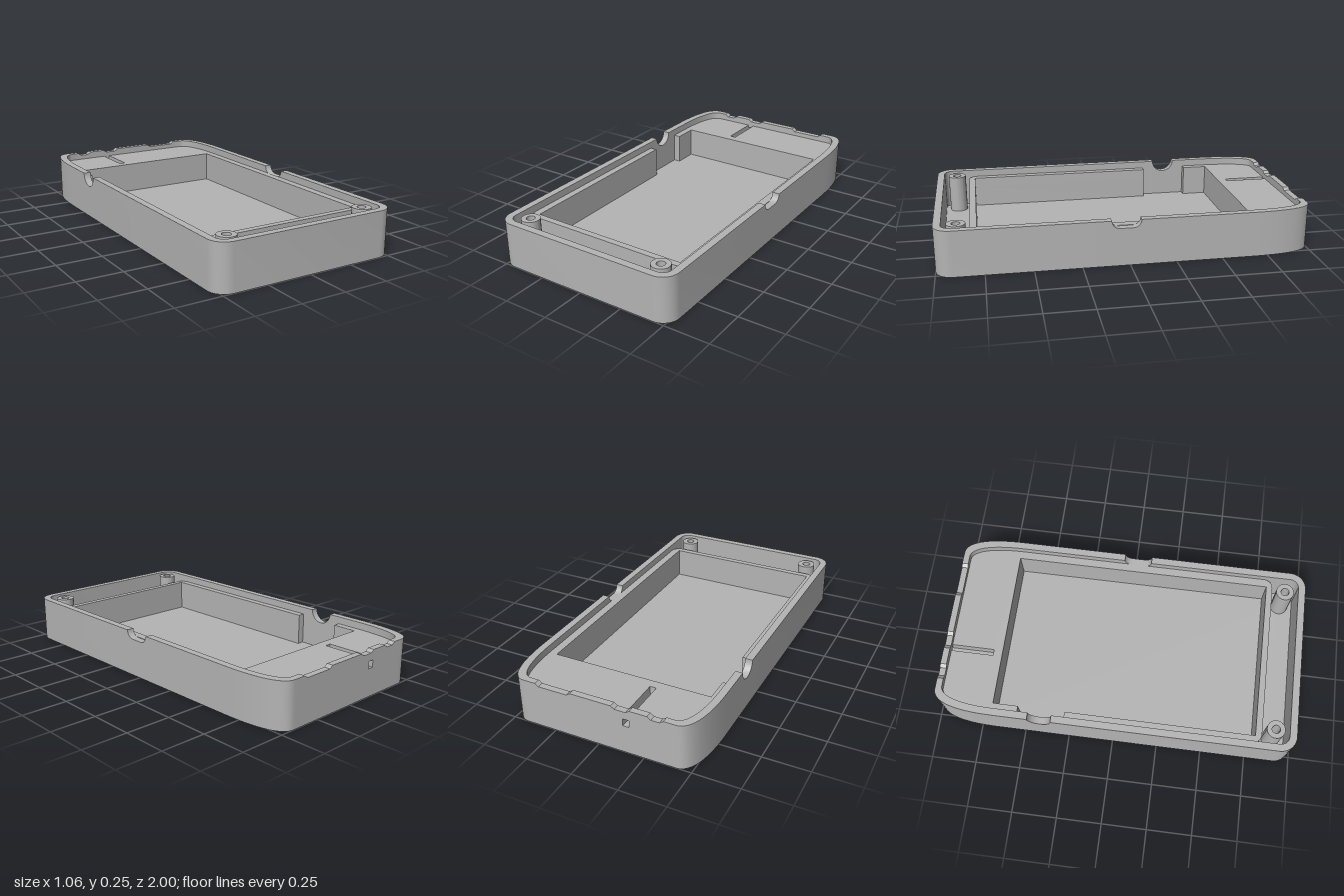
import * as THREE from 'three';
import { toCreasedNormals } from 'three/addons/utils/BufferGeometryUtils.js';

const FLOOR = 0.035, SHELF = 0.21, TOP = 0.25;
const SLOT = { x0: -0.175, x1: -0.14, end: -0.725, y0: 0.155, y1: 0.195 };

export function createModel() {
  const shell = new THREE.MeshStandardMaterial({ color: 0xb4b4b4 });
  shell.name = 'grey shell';
  const group = new THREE.Group();
  group.name = 'enclosureHalf';

  const add = (name, geo) => {
    const mesh = new THREE.Mesh(toCreasedNormals(geo, 0.5), shell);
    mesh.name = name;
    group.add(mesh);
  };

  // Horizontal plate between two heights, drawn in x and z
  const plate = (name, shape, y0, y1) => {
    const geo = new THREE.ExtrudeGeometry(shape, { depth: y1 - y0, bevelEnabled: false, curveSegments: 24 });
    geo.rotateX(Math.PI / 2).translate(0, y1, 0);
    add(name, geo);
  };

  const v = (x, z) => new THREE.Vector2(x, z);
  const mirror = (pts) => pts.map((p) => v(-p.x, p.y)).reverse();
  const arc = (cx, cz, r, n = 10) => Array.from({ length: n + 1 }, (_, i) => {
    const a = (i / n) * Math.PI / 2;
    return v(cx + r * Math.cos(a), cz + r * Math.sin(a));
  });

  // Tapered back corner and rounded front corner on the +x side
  const outerBack = new THREE.CubicBezierCurve(v(0.42, -1), v(0.5, -1), v(0.53, -0.86), v(0.53, -0.66)).getPoints(18);
  const innerBack = new THREE.CubicBezierCurve(v(0.4, -0.965), v(0.46, -0.965), v(0.49, -0.84), v(0.49, -0.66)).getPoints(18);
  const outerFront = arc(0.44, 0.91, 0.09);
  const innerFront = arc(0.44, 0.91, 0.05);

  // Rim height: one scooped notch on each side, shallow dips along the back
  const dips = [[-0.357, -0.272], [-0.177, -0.077], [0.15, 0.352]];
  const leftNotch = { z: 0.02, half: 0.078, r: 0.043 };
  const rightNotch = { z: -0.405, half: 0.065, r: 0.065 };
  const rimHeight = (x, z) => {
    if (z < -0.95) {
      const dip = dips.find(([a, b]) => x > a && x < b);
      if (!dip) return TOP;
      return TOP - 0.014 * Math.min(1, Math.min(x - dip[0], dip[1] - x) / 0.02);
    }
    if (Math.abs(x) < 0.5) return TOP;
    const n = x > 0 ? leftNotch : rightNotch;
    const inset = n.half - Math.abs(z - n.z);
    if (inset <= 0) return TOP;
    const t = Math.max(0, 1 - inset / n.r);
    return TOP - n.r * Math.sqrt(1 - t * t);
  };

  // Wall stations are [outer, inner] pairs, clockwise seen from above
  const pairUp = (a, b) => a.map((p, i) => [p, b[i]]);
  const backRun = (x0, x1) => {
    const xs = [x0, x1];
    for (const [a, b] of dips) xs.push(a, a + 0.02, b - 0.02, b);
    return [...new Set(xs)].filter((x) => x >= x0 && x <= x1).sort((a, b) => a - b)
      .map((x) => [v(x, -1), v(x, -0.965)]);
  };
  const sideRun = (sign, n) => Array.from({ length: 25 }, (_, i) => {
    const z = n.z - n.half * Math.cos((i / 24) * Math.PI);
    return [v(sign * 0.53, z), v(sign * 0.49, z)];
  });

  const wall = (name, stations, low, high) => {
    const sections = stations.map(([o, i]) => {
      const h = high ?? rimHeight(o.x, o.y);
      return [[o.x, low, o.y], [o.x, h, o.y], [i.x, h, i.y], [i.x, low, i.y]];
    });
    const pos = [];
    const quad = (a, b, c, d) => pos.push(...a, ...b, ...c, ...a, ...c, ...d);
    for (let s = 0; s < sections.length - 1; s++) {
      const p = sections[s], q = sections[s + 1];
      for (let k = 0; k < 4; k++) {
        const m = (k + 1) % 4;
        quad(p[k], p[m], q[m], q[k]);
      }
    }
    quad(...[...sections[0]].reverse());
    quad(...sections[sections.length - 1]);
    const geo = new THREE.BufferGeometry();
    geo.setAttribute('position', new THREE.Float32BufferAttribute(pos, 3));
    geo.computeVertexNormals();
    add(name, geo);
  };

  wall('outerWall', [
    ...backRun(SLOT.x1, 0.4),
    ...pairUp(outerBack, innerBack),
    ...sideRun(1, leftNotch),
    ...pairUp(outerFront, innerFront),
    ...pairUp(mirror(outerFront), mirror(innerFront)),
    ...sideRun(-1, rightNotch).reverse(),
    ...pairUp(mirror(outerBack), mirror(innerBack)),
    ...backRun(-0.4, SLOT.x0),
  ], 0);

  // Wall above and below the small cable hole at the back
  wall('wallBelowCableHole', backRun(SLOT.x0, SLOT.x1), 0, SLOT.y0);
  wall('wallAboveCableHole', backRun(SLOT.x0, SLOT.x1), SLOT.y1);

  // Floor with two screw holes
  const circle = (x, z, r) => new THREE.Path().absarc(x, z, r, 0, Math.PI * 2, true);
  const floor = new THREE.Shape([...innerBack, ...innerFront, ...mirror(innerFront), ...mirror(innerBack)]);
  for (const s of [-1, 1]) floor.holes.push(circle(s * 0.41, 0.885, 0.023));
  plate('floor', floor, 0, FLOOR);

  // Back shelf and ledge around the main pocket, open by the right notch
  const ledgeFront = arc(0.44, 0.765, 0.05);
  const ledge = (slot) => new THREE.Shape([
    v(-0.49, -0.535), ...mirror(innerBack), ...slot, ...innerBack,
    ...ledgeFront, ...mirror(ledgeFront),
    v(-0.49, -0.275), v(-0.45, -0.275), v(-0.45, 0.78), v(0.445, 0.78),
    v(0.445, -0.675), v(-0.45, -0.675), v(-0.45, -0.535),
  ]);
  plate('ledgeBase', ledge([]), FLOOR, SLOT.y0);
  plate('slottedLedge', ledge([
    v(SLOT.x0, -0.965), v(SLOT.x0, SLOT.end), v(SLOT.x1, SLOT.end), v(SLOT.x1, -0.965),
  ]), SLOT.y0, SHELF);

  // Screw posts
  for (const s of [-1, 1]) {
    const post = new THREE.Shape().absarc(s * 0.41, 0.885, 0.05, 0, Math.PI * 2, false);
    post.holes.push(circle(s * 0.41, 0.885, 0.023));
    plate(s > 0 ? 'leftScrewPost' : 'rightScrewPost', post, FLOOR, 0.245);
  }
  return group;
}
